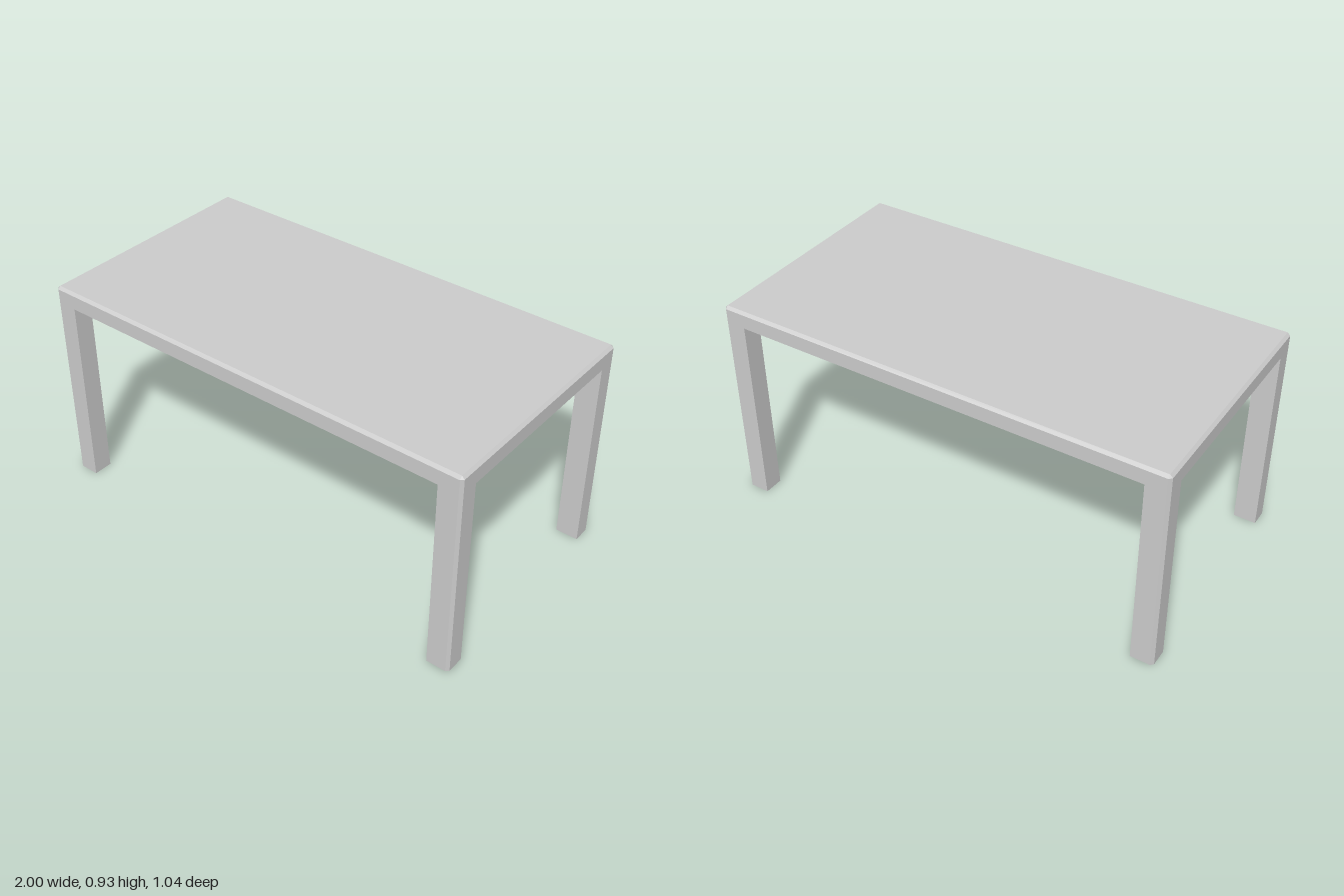
import * as THREE from 'three';
import { ConvexGeometry } from 'three/addons/geometries/ConvexGeometry.js';

const X = 1, Z = 0.522;             // half length and half depth
const UNDER = 0.859, TOP = 0.934;   // underside and upper face of the top
const LEG_X = 0.098, LEG_Z = 0.087; // leg section
const C = 0.012;                    // chamfer

export function createModel() {
  const table = new THREE.Group();
  table.name = 'table';
  const material = new THREE.MeshStandardMaterial({ color: 0xcccccc, flatShading: true });

  const add = (name, points) => {
    const mesh = new THREE.Mesh(new ConvexGeometry(points), material);
    mesh.name = name;
    table.add(mesh);
  };
  const corners = [[1, 1, 'frontLeft'], [-1, 1, 'frontRight'], [1, -1, 'backLeft'], [-1, -1, 'backRight']];

  // Table top: chamfered corners and upper rim
  const topPoints = [];
  for (const [sx, sz] of corners) {
    for (const y of [UNDER, TOP - C]) {
      topPoints.push(new THREE.Vector3(sx * X, y, sz * (Z - C)), new THREE.Vector3(sx * (X - C), y, sz * Z));
    }
    topPoints.push(new THREE.Vector3(sx * (X - C), TOP, sz * (Z - C)));
  }
  add('tableTop', topPoints);

  // Legs: flush with the top, outer corner chamfered to match
  const section = [
    [X - LEG_X, Z - LEG_Z], [X, Z - LEG_Z], [X, Z - C], [X - C, Z], [X - LEG_X, Z],
  ];
  for (const [sx, sz, name] of corners) {
    add(name + 'Leg', section.flatMap(([x, z]) =>
      [0, UNDER].map((y) => new THREE.Vector3(sx * x, y, sz * z))));
  }
  return table;
}
